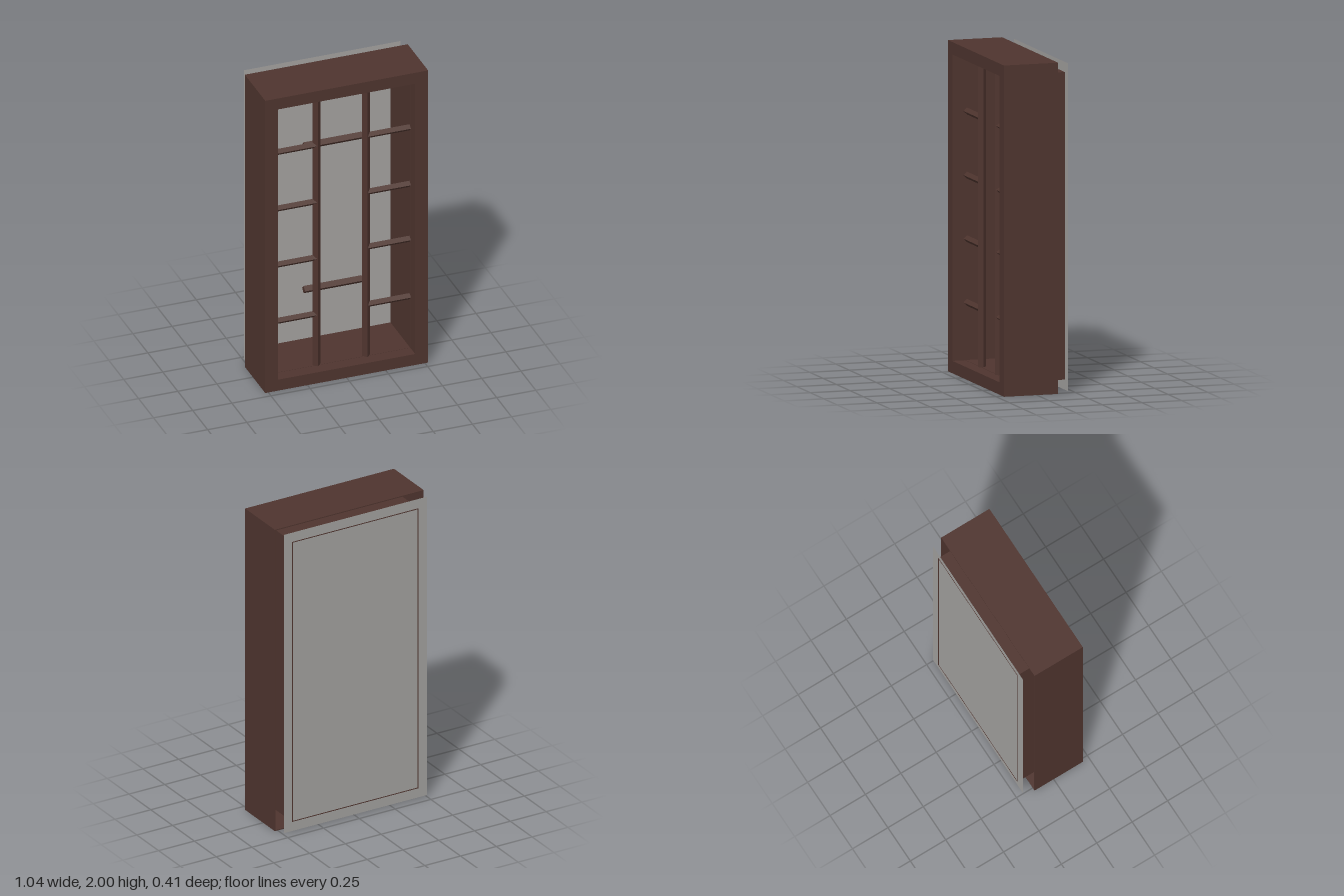
import * as THREE from 'three';

const brown = new THREE.MeshStandardMaterial({ color: 0x4e342e });
brown.name = 'dark brown wood';
const grey = new THREE.MeshStandardMaterial({ color: 0xa2a09e, side: THREE.DoubleSide });
grey.name = 'grey panel';

// Rectangular ring between two sizes, extruded from zBack to zFront
function ring(name, w, h, innerW, innerH, zBack, zFront) {
  const rect = (target, a, b) => target
    .moveTo(-a / 2, -b / 2).lineTo(a / 2, -b / 2)
    .lineTo(a / 2, b / 2).lineTo(-a / 2, b / 2).closePath();
  const shape = rect(new THREE.Shape(), w, h);
  shape.holes.push(rect(new THREE.Path(), innerW, innerH));
  const geo = new THREE.ExtrudeGeometry(shape, { depth: zFront - zBack, bevelEnabled: false });
  const mesh = new THREE.Mesh(geo, brown);
  mesh.name = name;
  mesh.position.set(0, 1, zBack);
  return mesh;
}

// Square bar standing on its edge, so its section is a diamond
function bar(name, radius, length, x, y, z, horizontal) {
  const geo = new THREE.CylinderGeometry(radius, radius, length, 4).toNonIndexed();
  geo.computeVertexNormals();
  if (horizontal) geo.rotateZ(Math.PI / 2);
  const mesh = new THREE.Mesh(geo, brown);
  mesh.name = name;
  mesh.position.set(x, y, z);
  return mesh;
}

export function createModel() {
  const model = new THREE.Group();
  model.name = 'dividedWindow';

  // Thick front ring, with a thin outer casing open at the back
  model.add(ring('frontFrame', 1.04, 2, 0.875, 1.85, 0.125, 0.206));
  model.add(ring('outerCasing', 1.04, 2, 1.028, 1.988, -0.135, 0.125));

  // Deep inner lining that reaches the back panel
  model.add(ring('innerLining', 0.882, 1.857, 0.872, 1.847, -0.206, 0.125));

  // Back panel, wider than the lining
  const panel = new THREE.Mesh(new THREE.PlaneGeometry(1.0, 1.98), grey);
  panel.name = 'backPanel';
  panel.position.set(0, 1, -0.204);
  model.add(panel);

  // Upright dividers and the crossbars of the outer columns
  const z = 0.115;
  const rows = { '-1': [0.424, 0.809, 1.193, 1.58], '1': [0.424, 0.817, 1.193, 1.58] };
  for (const side of [-1, 1]) {
    const prefix = side > 0 ? 'left' : 'right';
    model.add(bar(prefix + 'Divider', 0.025, 1.86, side * 0.158, 1, z, false));
    for (const y of rows[side]) {
      model.add(bar(prefix + 'Crossbar', 0.021, 0.282, side * 0.299, y, z, true));
    }
  }

  // Centre crossbars, set deeper inside
  for (const y of [0.517, 1.5]) {
    model.add(bar('centreCrossbar', 0.025, 0.37, 0, y, -0.03, true));
  }
  return model;
}
